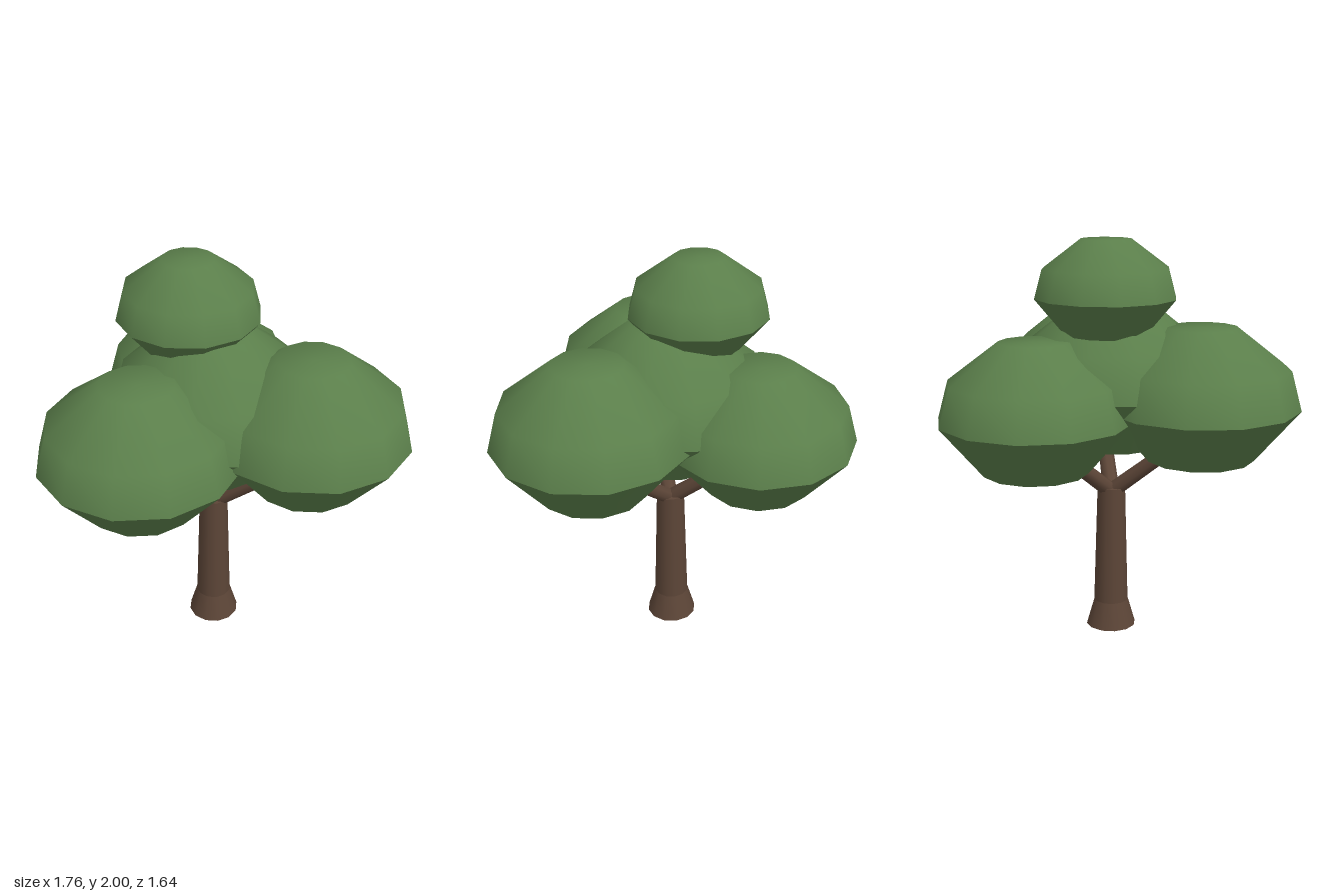
import * as THREE from 'three';
import { mergeGeometries } from 'three/addons/utils/BufferGeometryUtils.js';

const SIDES = 12;
const leafGreen = new THREE.MeshStandardMaterial({ name: 'leafGreen', color: 0x5b7f4b });
const barkBrown = new THREE.MeshStandardMaterial({ name: 'barkBrown', color: 0x5c4537, side: THREE.DoubleSide });

// Turned section from [radius, height] pairs listed bottom to top
function turned(pairs, turn = 0) {
  const points = pairs.map(([r, y]) => new THREE.Vector2(r, y));
  return new THREE.LatheGeometry(points, SIDES, THREE.MathUtils.degToRad(turn));
}

// Leaf clump: smooth dome, sharp rim, tapering skirt and flat underside
function leafClump({ name, x, z, r, turn, bottom, rim, shoulder, top }) {
  const geometry = mergeGeometries([
    turned([[0, bottom], [0.55 * r, bottom]], turn),
    turned([[0.55 * r, bottom], [r, rim]], turn),
    turned([[r, rim], [0.89 * r, shoulder], [0.36 * r, top], [0, top]], turn),
  ]);
  const mesh = new THREE.Mesh(geometry, leafGreen);
  mesh.name = name;
  mesh.position.set(x, 0, z);
  return mesh;
}

// Tapered limb between two points
function branch(name, from, to) {
  const direction = to.clone().sub(from);
  const mesh = new THREE.Mesh(new THREE.CylinderGeometry(0.034, 0.042, direction.length(), 8), barkBrown);
  mesh.name = name;
  mesh.position.copy(from).add(to).multiplyScalar(0.5);
  mesh.quaternion.setFromUnitVectors(new THREE.Vector3(0, 1, 0), direction.normalize());
  return mesh;
}

export function createModel() {
  const tree = new THREE.Group();
  tree.name = 'tree';

  // Trunk with a flared foot
  const trunk = new THREE.Mesh(
    mergeGeometries([
      turned([[0.127, 0], [0.088, 0.135]]),
      turned([[0.088, 0.135], [0.071, 0.745]]),
      turned([[0.071, 0.745], [0, 0.745]]),
    ]), barkBrown);
  trunk.name = 'trunk';
  trunk.position.set(-0.01, 0, 0.09);
  tree.add(trunk);

  // Outer clumps, each carried by a branch
  const outer = [
    { name: 'rightClump', x: -0.4, z: 0.33, r: 0.482, turn: 8.4, bottom: 0.94, rim: 1.197, shoulder: 1.39, top: 1.585 },
    { name: 'leftClump', x: 0.4, z: 0.34, r: 0.48, turn: 1, bottom: 0.97, rim: 1.235, shoulder: 1.43, top: 1.63 },
    { name: 'backClump', x: 0.005, z: -0.37, r: 0.47, turn: 15, bottom: 0.905, rim: 1.157, shoulder: 1.345, top: 1.535 },
  ];
  const fork = new THREE.Vector3(-0.01, 0.72, 0.09);
  for (const clump of outer) {
    tree.add(leafClump(clump));
    tree.add(branch(clump.name.replace('Clump', 'Branch'), fork, new THREE.Vector3(clump.x, 1.09, clump.z)));
  }

  // Middle and crown clumps
  tree.add(leafClump({ name: 'middleClump', x: -0.01, z: 0.1, r: 0.5, turn: 5, bottom: 0.985, rim: 1.27, shoulder: 1.48, top: 1.69 }));
  tree.add(leafClump({ name: 'crownClump', x: -0.105, z: -0.027, r: 0.343, turn: 2.5, bottom: 1.54, rim: 1.725, shoulder: 1.865, top: 2 }));

  return tree;
}
